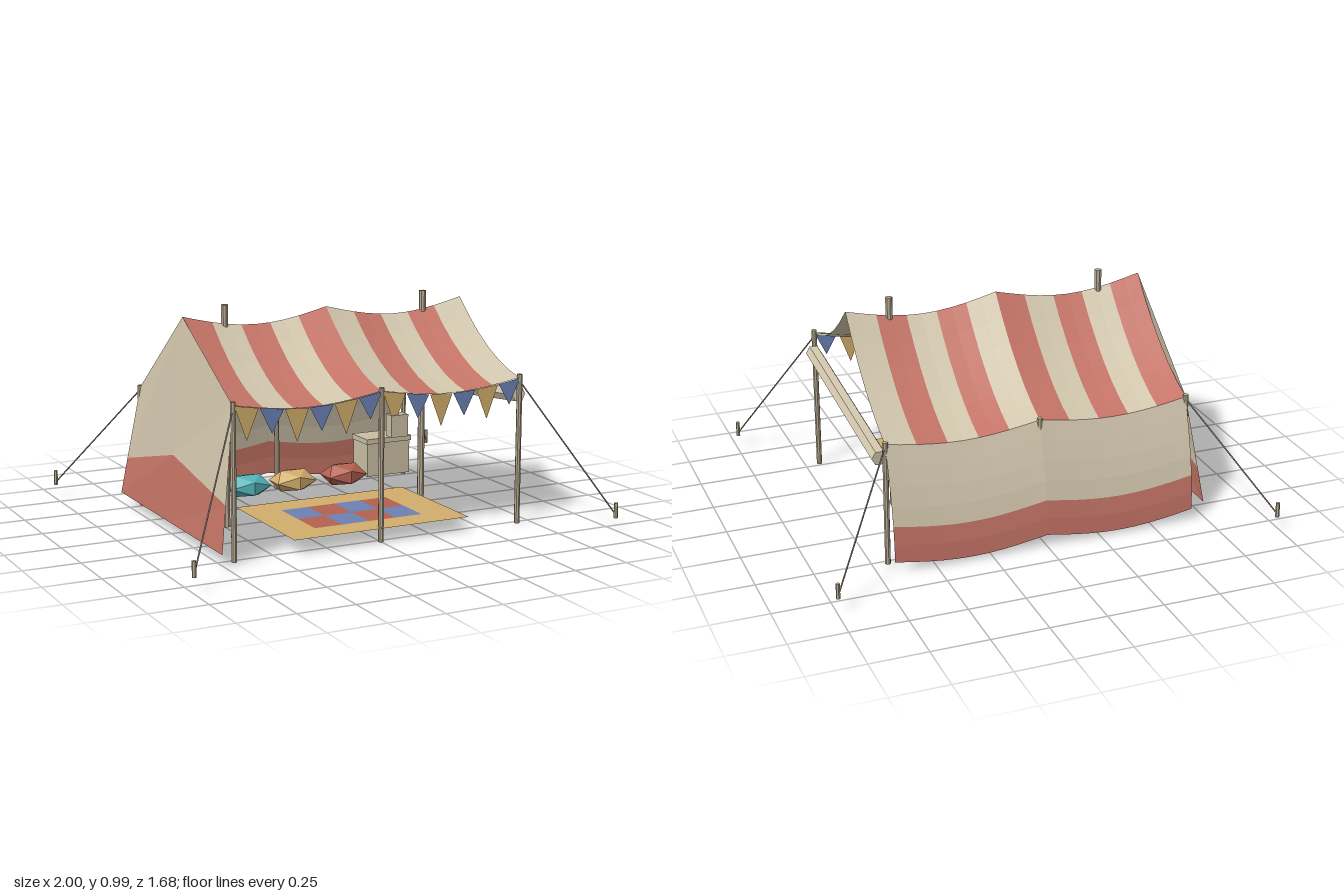
import * as THREE from 'three';

const HALF = 0.683, RIDGE = 0.945, FRONT = 0.655, BACK = 0.55, EAVE = 0.52;

const mat = (name, color) => new THREE.MeshStandardMaterial({ name, color, flatShading: true, side: THREE.DoubleSide });

// Sag of the cloth between the poles, 0 at x = 0 and at both ends
const sag = x => Math.sin(Math.PI * Math.min(1, Math.abs(x) / HALF));
const lerp = THREE.MathUtils.lerp;

export function createModel() {
  const model = new THREE.Group();
  model.name = 'marketTent';
  const cream = mat('creamCanvas', 0xd3c7ae);
  const red = mat('redCanvas', 0xc67567);
  const wood = mat('paleWood', 0xb5a88f);
  const crateWood = mat('crateWood', 0xcabfa4);
  const ropeMat = mat('rope', 0x9a9078);
  const yellow = mat('yellowCloth', 0xd2ad6b);
  const blue = mat('blueCloth', 0x6c80b4);
  const teal = mat('tealCloth', 0x55b3b8);
  const rust = mat('rustCloth', 0xb4614f);

  const add = (name, geometry, material, x = 0, y = 0, z = 0, parent = model) => {
    const mesh = new THREE.Mesh(geometry, material);
    mesh.name = name;
    mesh.position.set(x, y, z);
    parent.add(mesh);
    return mesh;
  };

  // Cloth patch: fn(u, v) gives [x, y, z] over the given ranges
  const sheet = (name, fn, u0, u1, v0, v1, nu, nv, material, parent = model) => {
    const pos = [], idx = [];
    for (let j = 0; j <= nv; j++)
      for (let i = 0; i <= nu; i++) pos.push(...fn(lerp(u0, u1, i / nu), lerp(v0, v1, j / nv)));
    for (let j = 0; j < nv; j++)
      for (let i = 0; i < nu; i++) {
        const a = j * (nu + 1) + i, b = a + nu + 1;
        idx.push(a, b, a + 1, a + 1, b, b + 1);
      }
    const g = new THREE.BufferGeometry();
    g.setAttribute('position', new THREE.Float32BufferAttribute(pos, 3));
    g.setIndex(idx);
    g.computeVertexNormals();
    return add(name, g, material, 0, 0, 0, parent);
  };

  // Round bar between two points
  const bar = (name, a, b, r, sides, material) => {
    const p = new THREE.Vector3(...a), q = new THREE.Vector3(...b), d = q.clone().sub(p);
    const m = add(name, new THREE.CylinderGeometry(r, r, d.length(), sides), material);
    m.position.copy(p).lerp(q, 0.5);
    m.quaternion.setFromUnitVectors(new THREE.Vector3(0, 1, 0), d.normalize());
    return m;
  };

  // Striped roof, two sagging slopes
  const roof = new THREE.Group();
  roof.name = 'roof';
  model.add(roof);
  const slope = (side, eaveY) => (x, t) => [
    x,
    lerp(RIDGE, eaveY, t) - 0.052 * 4 * t * (1 - t) - sag(x) * lerp(0.055, 0.038, t),
    side * EAVE * t,
  ];
  const stripe = 2 * HALF / 10;
  for (let i = 0; i < 10; i++) {
    const x0 = -HALF + i * stripe, m = i % 2 ? cream : red;
    sheet('frontRoofStripe', slope(1, FRONT), x0, x0 + stripe, 0, 1, 2, 6, m, roof);
    sheet('backRoofStripe', slope(-1, BACK), x0 + stripe, x0, 0, 1, 2, 6, m, roof);
  }

  // Back wall with a red hem
  const backWall = (x, v) => [
    x,
    lerp(BACK, 0.055, v) - sag(x) * 0.038,
    -EAVE - 0.1 * Math.sin(v * Math.PI / 2),
  ];
  sheet('backWall', backWall, HALF, -HALF, 0, 0.68, 20, 4, cream);
  sheet('backWallHem', backWall, HALF, -HALF, 0.68, 1, 20, 2, red);

  // Gabled side wall with a red hem, leaning outwards
  const sideWall = (u, v) => [
    lerp(-0.762, -HALF, v),
    lerp(0.055, lerp(RIDGE, u > 0 ? FRONT : BACK, Math.abs(u)), v),
    u * lerp(0.58, EAVE, v),
  ];
  sheet('sideWall', sideWall, 1, -1, 0.33, 1, 2, 1, cream);
  sheet('sideWallHem', sideWall, 1, -1, 0, 0.33, 2, 1, red);

  // Rolled-up wall on the open side
  const roll = bar('rolledWall', [0.698, 0.575, 0.49], [0.698, 0.478, -0.49], 0.035, 6, cream);
  roll.rotateY(Math.PI / 2);

  // Poles, guy ropes and stakes
  for (const x of [-HALF, 0, HALF]) {
    bar('frontPole', [x, 0, EAVE], [x, 0.67, EAVE], 0.0125, 8, wood);
    bar('backPole', [x, 0, -EAVE], [x, 0.56, -EAVE], 0.0125, 8, wood);
  }
  for (const s of [-1, 1]) {
    bar('ridgePole', [s * 0.488, 0, 0], [s * 0.488, 0.985, 0], 0.016, 8, wood);
    for (const [side, top] of [[1, 0.64], [-1, 0.54]]) {
      bar('guyRope', [s * HALF, top, side * EAVE], [s * 0.99, 0.075, side * 0.832], 0.0035, 5, ropeMat);
      add('stake', new THREE.CylinderGeometry(0.009, 0.009, 0.068, 6), wood, s * 0.991, 0.094, side * 0.832);
    }
  }

  // Bunting along the front eave
  const pitch = 2 * HALF / 12;
  for (let i = 0; i < 12; i++) {
    const x = -HALF + (i + 0.5) * pitch, w = pitch * 0.48, drop = i % 2 ? 0.105 : 0.14;
    const top = dx => FRONT - 0.038 * sag(x + dx);
    const flag = new THREE.Shape([
      new THREE.Vector2(x - w, top(-w)),
      new THREE.Vector2(x, top(0) - drop),
      new THREE.Vector2(x + w, top(w)),
    ]);
    add('buntingFlag', new THREE.ShapeGeometry(flag), i % 2 ? blue : yellow, 0, 0, EAVE + 0.008);
  }

  // Rug: yellow border around a checked centre
  const rug = new THREE.Group();
  rug.name = 'rug';
  rug.position.set(0, 0.065, 0.245);
  rug.rotation.x = -Math.PI / 2;
  model.add(rug);
  const rect = (w, h) => [[-w, -h], [w, -h], [w, h], [-w, h]].map(p => new THREE.Vector2(...p));
  const border = new THREE.Shape(rect(0.42, 0.3));
  border.holes.push(new THREE.Path(rect(0.26, 0.166).reverse()));
  add('rugBorder', new THREE.ShapeGeometry(border), yellow, 0, 0, 0, rug);
  for (let i = 0; i < 4; i++)
    for (let j = 0; j < 2; j++)
      add('rugCheck', new THREE.PlaneGeometry(0.13, 0.166), (i + j) % 2 ? blue : rust,
        -0.195 + i * 0.13, -0.083 + j * 0.166, 0, rug);

  // Faceted cushions
  for (const [x, m] of [[-0.295, teal], [-0.067, yellow], [0.195, rust]])
    add('cushion', new THREE.IcosahedronGeometry(1, 0), m, x, 0.118, -0.208).scale.set(0.114, 0.056, 0.097);

  // Chest with a slightly wider lid
  add('chestBody', new THREE.BoxGeometry(0.225, 0.16, 0.14), crateWood, 0.47, 0.15, -0.348);
  add('chestLid', new THREE.BoxGeometry(0.238, 0.024, 0.154), crateWood, 0.47, 0.239, -0.348);

  // Small hanging box under the front eave
  add('hangingBox', new THREE.BoxGeometry(0.08, 0.095, 0.05), crateWood, 0.08, 0.5, 0.51);
  bar('hangingCord', [0.08, 0.54, 0.51], [0.08, 0.64, 0.515], 0.003, 5, ropeMat);

  return model;
}
